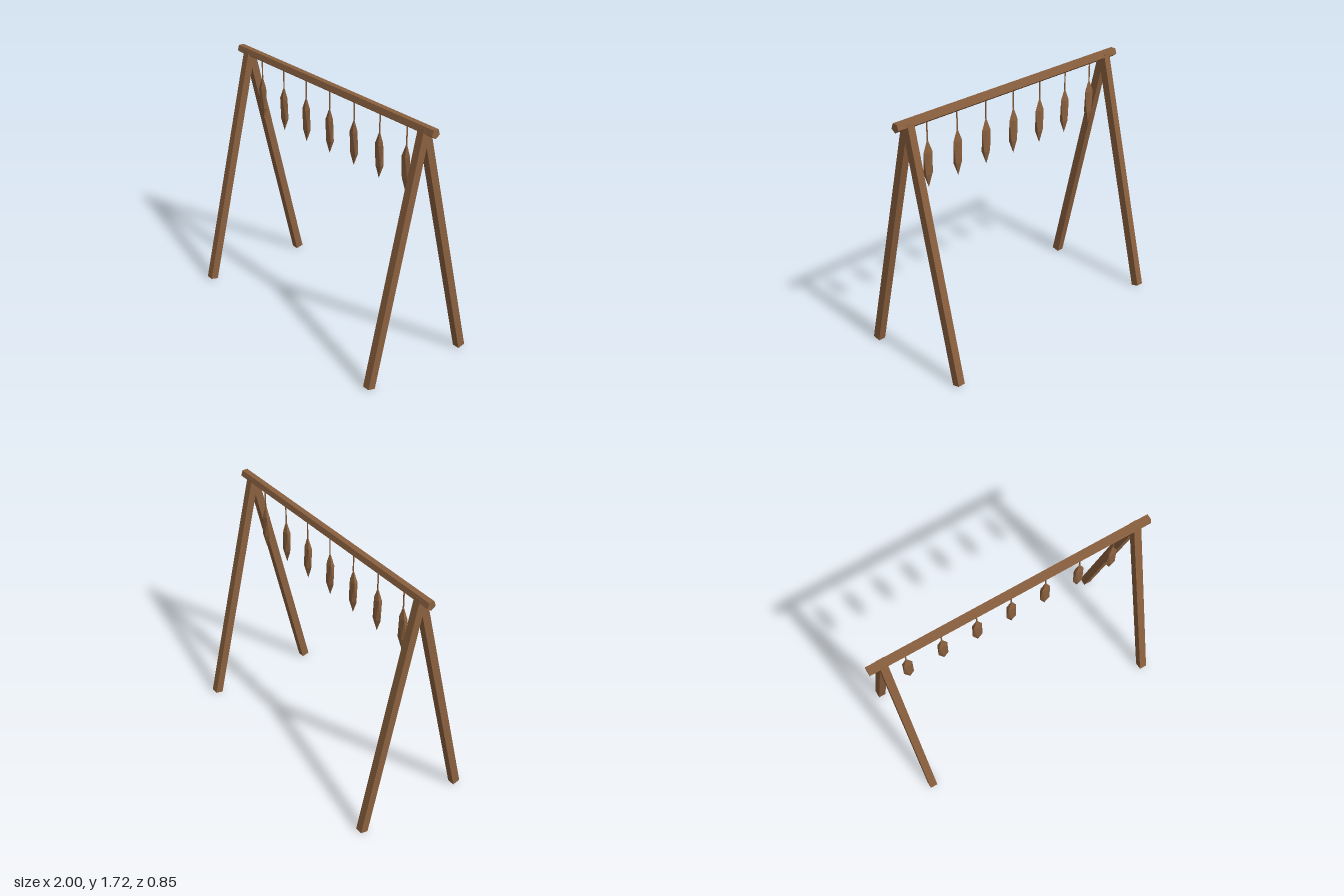
import * as THREE from 'three';

const wood = new THREE.MeshStandardMaterial({ color: 0x8a603e, flatShading: true });
wood.name = 'brown wood';

export function createModel() {
  const model = new THREE.Group();
  model.name = 'hangingRack';

  const add = (name, geometry, x = 0, y = 0, z = 0) => {
    const mesh = new THREE.Mesh(geometry, wood);
    mesh.name = name;
    mesh.position.set(x, y, z);
    model.add(mesh);
    return mesh;
  };

  // Five-sided crossbeam, flat face up and ridge down
  const beam = new THREE.CylinderGeometry(0.033, 0.033, 2, 5, 1, false, -Math.PI / 2);
  beam.rotateZ(Math.PI / 2);
  add('crossbeam', beam, 0, 1.693, 0);

  // Two A-frames of slanted square legs, crossing at the beam
  const foot = 0.4, bottom = 0.006, top = 1.698;
  const rise = top - bottom;
  const legGeometry = new THREE.BoxGeometry(0.053, Math.hypot(foot, rise), 0.055);
  for (const side of [1, -1]) {
    for (const dir of [1, -1]) {
      const name = (side > 0 ? 'left' : 'right') + (dir > 0 ? 'Front' : 'Back') + 'Leg';
      const leg = add(name, legGeometry, side * 0.9, (top + bottom) / 2, dir * foot / 2);
      leg.rotation.x = -dir * Math.atan2(foot, rise);
    }
  }

  // Faceted pod: a stretched, flattened icosahedron standing on one corner
  const pod = new THREE.IcosahedronGeometry(1, 0);
  pod.rotateX(-Math.atan((1 + Math.sqrt(5)) / 2));
  pod.rotateY(Math.PI / 2);
  pod.scale(0.04, 0.163, 0.024);

  // Row of pods, each on a short cord
  const cord = new THREE.CylinderGeometry(0.005, 0.005, 0.14, 5);
  for (let i = -3; i <= 3; i++) {
    add('cord', cord, i * 0.25, 1.61, 0);
    add('hangingPod', pod, i * 0.25, 1.388, 0);
  }

  return model;
}
